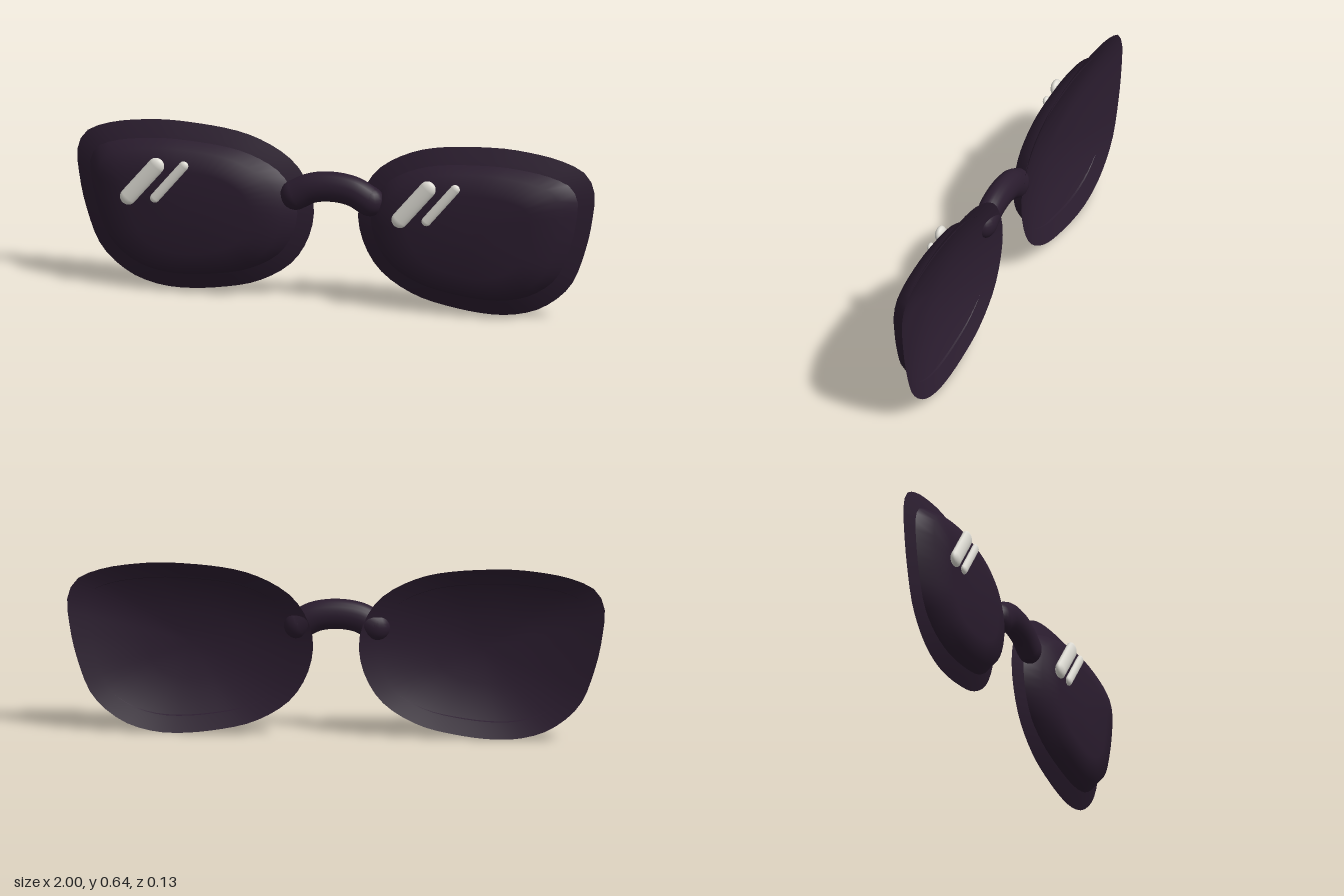
import * as THREE from 'three';

const dark = new THREE.MeshStandardMaterial({ color: 0x2a1c2e, side: THREE.DoubleSide });
dark.name = 'dark plum';
const shine = new THREE.MeshStandardMaterial({ color: 0xdedcd4 });
shine.name = 'pale shine';

// Rim outline of the left lens, counter-clockwise from the top
const RIM = [
  [0.607, 0.645], [0.33, 0.613], [0.17, 0.53], [0.107, 0.44], [0.085, 0.35], [0.105, 0.24],
  [0.17, 0.135], [0.3, 0.053], [0.46, 0.014], [0.607, 0.001], [0.7, 0.01], [0.8, 0.045], [0.905, 0.135],
  [0.965, 0.28], [0.993, 0.41], [0.999, 0.51], [0.967, 0.573], [0.88, 0.614], [0.75, 0.638],
];
const CENTRE = [0.54, 0.323];

// Rings as x scale, y scale, z; the last one is closed at the hub depth
const DOME = [[0.875, 0.815, -0.042], [0.77, 0.727, 0.014], [0.52, 0.493, 0.037]];
const DISH = [1, 0.85, 0.7, 0.55, 0.4, 0.2].map((s) => [s, s, -0.067 + 0.09 * (1 - s * s)]);

function ringSurface(rings, hubZ, side) {
  const curve = new THREE.CatmullRomCurve3(RIM.map(([x, y]) => new THREE.Vector3(x, y, 0)), true);
  const n = 56;
  const outline = curve.getSpacedPoints(n).slice(0, n);
  if (side < 0) outline.reverse();
  const pos = [], idx = [];
  for (const [sx, sy, z] of rings)
    for (const p of outline)
      pos.push(side * (CENTRE[0] + (p.x - CENTRE[0]) * sx), CENTRE[1] + (p.y - CENTRE[1]) * sy, z);
  pos.push(side * CENTRE[0], CENTRE[1], hubZ);
  const last = rings.length - 1, hub = rings.length * n;
  for (let j = 0; j < n; j++) {
    const k = (j + 1) % n;
    for (let r = 0; r < last; r++) {
      const a = r * n + j, b = r * n + k;
      idx.push(a, b, b + n, a, b + n, a + n);
    }
    idx.push(last * n + j, last * n + k, hub);
  }
  const g = new THREE.BufferGeometry();
  g.setAttribute('position', new THREE.Float32BufferAttribute(pos, 3));
  g.setIndex(idx);
  g.computeVertexNormals();
  return g;
}

// Slanted flattened capsule between two points
function glint(name, x0, y0, x1, y1, z, radius, depth) {
  const len = Math.hypot(x1 - x0, y1 - y0);
  const m = new THREE.Mesh(new THREE.CapsuleGeometry(radius, len, 6, 16), shine);
  m.name = name;
  m.position.set((x0 + x1) / 2, (y0 + y1) / 2, z);
  m.rotation.z = Math.atan2(y1 - y0, x1 - x0) - Math.PI / 2;
  m.scale.z = depth / radius;
  return m;
}

// Arched nose bridge with rounded ends, slightly flattened front to back
function bridge() {
  const g = new THREE.Group();
  g.name = 'bridge';
  const path = new THREE.CatmullRomCurve3([
    [-0.143, 0.412], [-0.08, 0.444], [0, 0.455], [0.08, 0.444], [0.143, 0.412],
  ].map(([x, y]) => new THREE.Vector3(x, y, 0)));
  const arch = new THREE.Mesh(new THREE.TubeGeometry(path, 28, 0.057, 20), dark);
  arch.name = 'bridgeArch';
  g.add(arch);
  for (const s of [-1, 1]) {
    const end = new THREE.Mesh(new THREE.SphereGeometry(0.057, 20, 14), dark);
    end.name = s > 0 ? 'leftBridgeEnd' : 'rightBridgeEnd';
    end.position.set(s * 0.143, 0.412, 0);
    g.add(end);
  }
  g.scale.z = 0.8;
  g.position.z = -0.021;
  return g;
}

export function createModel() {
  const model = new THREE.Group();
  model.name = 'sunglasses';

  for (const side of [-1, 1]) {
    const prefix = side > 0 ? 'left' : 'right';

    // Shallow dish forms the rim and the back; the raised dome sits on its front
    const rim = new THREE.Mesh(ringSurface(DISH, 0.023, side), dark);
    rim.name = prefix + 'Rim';
    const lens = new THREE.Mesh(ringSurface(DOME, 0.037, side), dark);
    lens.name = prefix + 'Lens';
    model.add(rim, lens);

    // Reflections slant the same way on both lenses
    const dx = side > 0 ? 1.05 : 0;
    model.add(glint(prefix + 'WideGlint', dx - 0.769, 0.371, dx - 0.66, 0.499, 0.05, 0.031, 0.0175));
    model.add(glint(prefix + 'NarrowGlint', dx - 0.668, 0.372, dx - 0.556, 0.505, 0.043, 0.018, 0.012));
  }

  model.add(bridge());
  return model;
}
